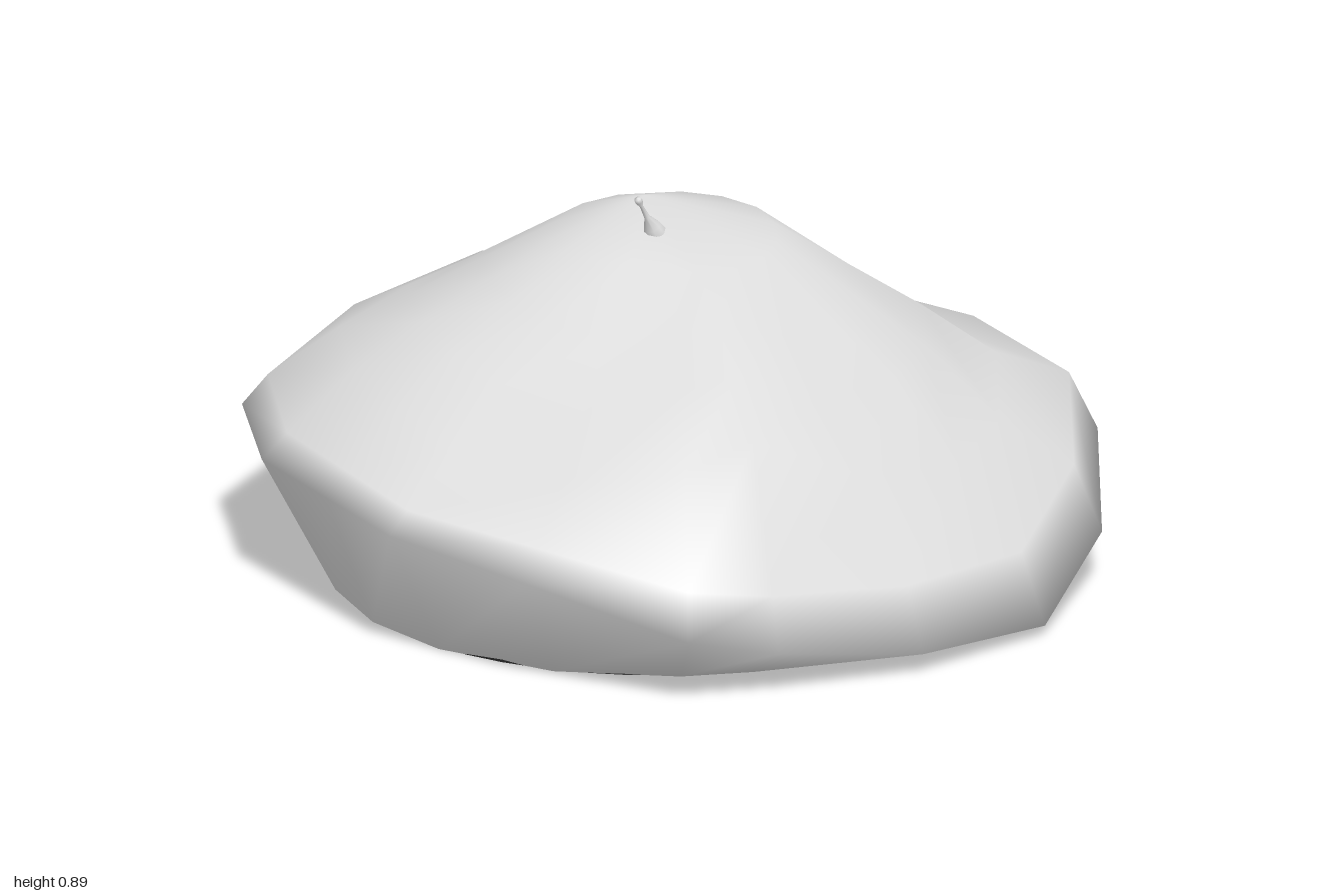
import * as THREE from 'three';

// Spokes of the crown, clockwise from above:
// rim x, y, z, then the height of the slope at its outer quarter and at its middle
const SPOKES = [
  [-0.48, 0.36, -0.90, 0.51, 0.60], [-0.1, 0.33, -0.912, 0.47, 0.57],
  [0.29, 0.30, -0.925, 0.44, 0.55], [0.64, 0.23, -0.84, 0.43, 0.55],
  [0.90, 0.13, -0.50, 0.38, 0.54], [1.0, 0.025, -0.14, 0.37, 0.53],
  [0.93, 0.05, 0.24, 0.41, 0.55], [0.76, 0.11, 0.57, 0.54, 0.63],
  [0.65, 0.17, 0.77, 0.49, 0.61], [0.29, 0.28, 0.91, 0.42, 0.54],
  [-0.09, 0.32, 0.92, 0.455, 0.56], [-0.355, 0.325, 0.805, 0.50, 0.59],
  [-0.62, 0.33, 0.69, 0.52, 0.61], [-0.88, 0.33, 0.41, 0.52, 0.60],
  [-1.0, 0.31, -0.12, 0.49, 0.58], [-0.89, 0.36, -0.50, 0.50, 0.57],
];

// Closed loops stacked from the bottom opening to the crown
function crownLoops() {
  const rim = SPOKES.map(([x, y, z]) => new THREE.Vector3(x, y, z));
  const base = rim.map((p) => {
    const r = 0.755 / Math.hypot(p.x, p.z);
    return new THREE.Vector3(p.x * r, 0, p.z * r);
  });
  const shoulder = rim.map((p) => new THREE.Vector3(
    p.x * 0.94,
    p.y + 0.1 + 0.07 * Math.max(0, p.x) - 0.06 * Math.max(0, p.z),
    p.z * 0.93,
  ));
  const top = rim.map((p) => {
    const r = 0.26 / Math.hypot(p.x, p.z);
    const x = -0.07 + p.x * r;
    return new THREE.Vector3(x, 0.77 - 0.12 * Math.max(0, x), -0.13 + p.z * r);
  });
  // Loop part way up the slope, with a height for each spoke
  const slope = (t, height) => shoulder.map((p, i) => {
    const v = p.clone().lerp(top[i], t);
    v.y = height(SPOKES[i], top[i].y);
    return v;
  });
  return [
    base, rim, shoulder,
    slope(0.25, (s) => s[3]),
    slope(0.5, (s) => s[4]),
    slope(0.75, (s, topY) => (s[4] + topY) / 2),
    top,
  ];
}

function crownGeometry() {
  const loops = crownLoops();
  const n = SPOKES.length;
  const points = loops.flat();
  const index = [];
  for (let k = 0; k < loops.length - 1; k++) {
    for (let i = 0; i < n; i++) {
      const a = k * n + i;
      const b = k * n + (i + 1) % n;
      index.push(b, a, a + n, b, a + n, b + n);
    }
  }
  // Close the top with a fan
  const start = (loops.length - 1) * n;
  const apex = points.length;
  points.push(new THREE.Vector3(-0.155, 0.825, -0.165));
  for (let i = 0; i < n; i++) index.push(start + (i + 1) % n, start + i, apex);

  const geo = new THREE.BufferGeometry().setFromPoints(points);
  geo.setIndex(index);
  geo.computeVertexNormals();
  return geo;
}

export function createModel() {
  const felt = new THREE.MeshStandardMaterial({ color: 0xdedede, side: THREE.DoubleSide });
  felt.name = 'light grey felt';
  const black = new THREE.MeshStandardMaterial({ color: 0x1f1f1f, side: THREE.DoubleSide });
  black.name = 'black lining';

  const model = new THREE.Group();
  model.name = 'beret';
  const add = (name, geometry, material, parent = model) => {
    const mesh = new THREE.Mesh(geometry, material);
    mesh.name = name;
    parent.add(mesh);
    return mesh;
  };

  add('crown', crownGeometry(), felt);

  // Head band inside the opening
  const band = add('headBand', new THREE.CylinderGeometry(0.705, 0.745, 0.2, 48, 1, true), black);
  band.position.y = 0.1;

  // Small stalk leaning forward, flared at the base with a knob on the end
  const stalk = new THREE.Group();
  stalk.name = 'stalk';
  const profile = [[0.026, -0.01], [0.021, 0.01], [0.007, 0.04], [0.004, 0.075], [0.009, 0.09], [0.008, 0.1], [0, 0.102]]
    .map(([r, y]) => new THREE.Vector2(r, y));
  add('stalkBody', new THREE.LatheGeometry(profile, 8), felt, stalk);
  stalk.position.set(-0.042, 0.8, -0.045);
  stalk.rotation.set(0.52, 0, 0.1);
  model.add(stalk);

  return model;
}
